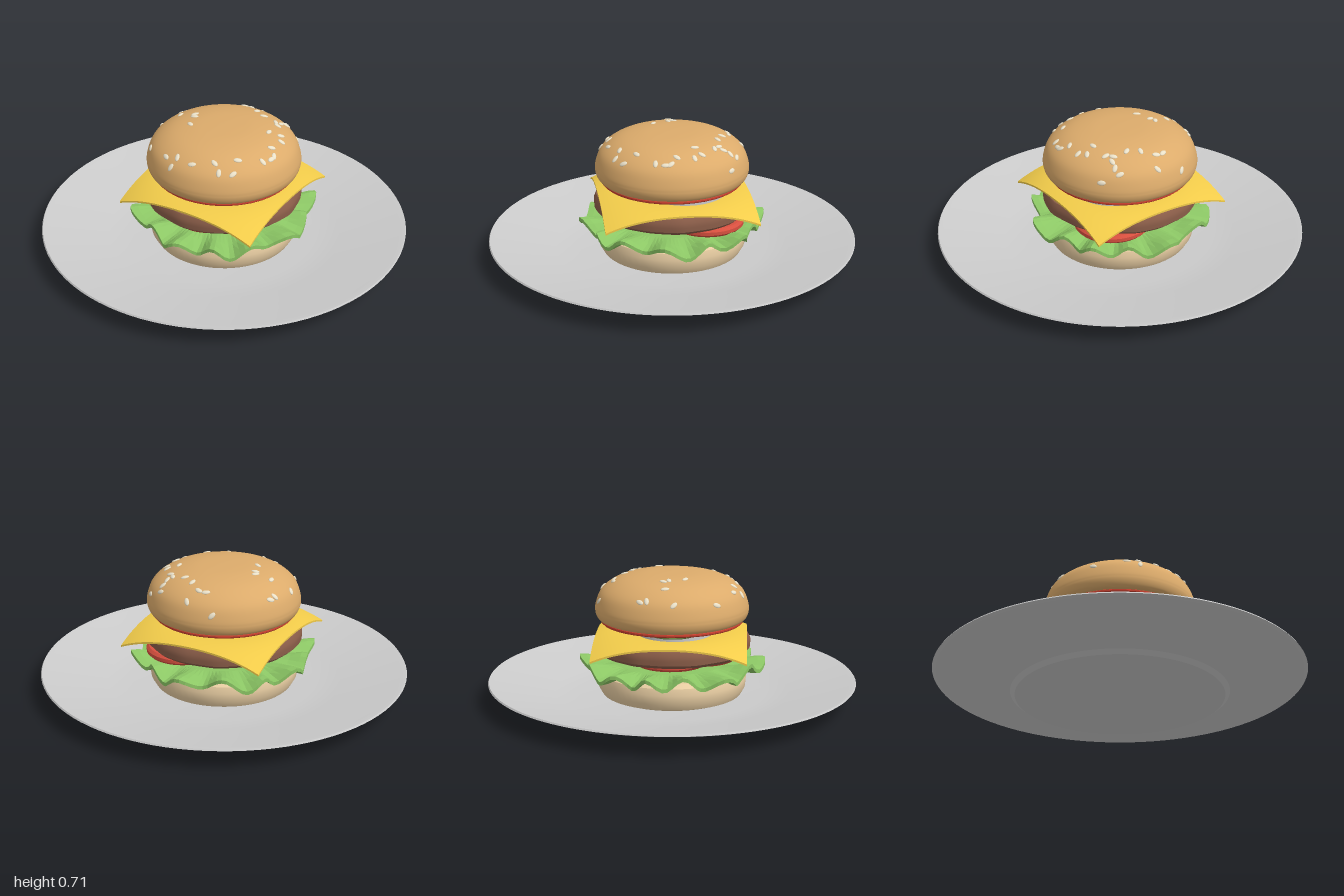
import * as THREE from 'three';
import { toCreasedNormals } from 'three/addons/utils/BufferGeometryUtils.js';

const material = (color, extra = {}) => new THREE.MeshStandardMaterial({ color, ...extra });
const points = (pairs) => pairs.map(([x, y]) => new THREE.Vector2(x, y));

function addMesh(parent, name, geometry, mat, x = 0, y = 0, z = 0) {
  const mesh = new THREE.Mesh(geometry, mat);
  mesh.name = name;
  mesh.position.set(x, y, z);
  parent.add(mesh);
  return mesh;
}

// Solid of revolution, keeping corners sharper than the crease angle
const turned = (profile, segments = 64, crease = 0.6) =>
  toCreasedNormals(new THREE.LatheGeometry(profile, segments), crease);

// Moves every vertex by rule(v)
function deform(geometry, rule) {
  const pos = geometry.attributes.position;
  const v = new THREE.Vector3();
  for (let i = 0; i < pos.count; i++) {
    rule(v.fromBufferAttribute(pos, i));
    pos.setXYZ(i, v.x, v.y, v.z);
  }
  geometry.computeVertexNormals();
  return geometry;
}

// Thin disc with a softened edge, standing on y = 0
const slice = (r, h) => turned(points([
  [0, 0], [r - h * 0.3, 0], [r, h * 0.3], [r, h * 0.7], [r - h * 0.3, h], [0, h],
]), 40);

export function createModel() {
  const burger = new THREE.Group();
  burger.name = 'burgerOnPlate';
  const red = material(0xd8503f);

  // Plate with a foot, sloping rim and shallow well
  addMesh(burger, 'plate', turned(points([
    [0, 0], [0.56, 0], [0.585, 0.02], [0.98, 0.108], [1, 0.116], [0.995, 0.124],
    [0.965, 0.12], [0.64, 0.045], [0.5, 0.03], [0, 0.03],
  ]), 96, 0.25), material(0xcccccc));

  // Bottom bun
  addMesh(burger, 'bottomBun', turned(points([
    [0, 0.03], [0.34, 0.03], [0.38, 0.045], [0.4, 0.08], [0.405, 0.13],
    [0.395, 0.165], [0.37, 0.185], [0, 0.185],
  ])), material(0xe8cda2));

  // Lettuce: thick disc whose rim is ruffled up, down, in and out
  const leaf = new THREE.LatheGeometry(points([
    [0, 0.185], [0.3, 0.185], [0.38, 0.187], [0.44, 0.188], [0.475, 0.19],
    [0.475, 0.21], [0.44, 0.213], [0.38, 0.213], [0.3, 0.215], [0, 0.215],
  ]), 112);
  deform(leaf, (v) => {
    const r = Math.hypot(v.x, v.z);
    const a = Math.atan2(v.z, v.x);
    const k = THREE.MathUtils.smoothstep(r, 0.28, 0.475);
    v.y += k * (0.03 * Math.sin(14 * a + 0.6 * Math.sin(3 * a)) + 0.01 * Math.sin(5 * a + 1));
    const s = 1 + k * (0.05 * Math.sin(8 * a + 0.8) + 0.03 * Math.sin(14 * a));
    v.x *= s;
    v.z *= s;
  });
  addMesh(burger, 'lettuce', leaf,
    material(0x8cc765, { flatShading: true, side: THREE.DoubleSide }));

  // Lower tomato slices
  [[0.23, 0], [-0.11, 0.11], [-0.08, -0.08]].forEach(([x, z], i) =>
    addMesh(burger, `tomatoSlice${i + 1}`, slice(0.2, 0.045), red, x, 0.228 + i * 0.001, z));

  // Patty with slightly uneven sides
  const patty = new THREE.LatheGeometry(points([
    [0, 0.27], [0.36, 0.27], [0.4, 0.277], [0.42, 0.295], [0.422, 0.32],
    [0.422, 0.345], [0.41, 0.368], [0.38, 0.378], [0, 0.378],
  ]), 72);
  deform(patty, (v) => {
    const a = Math.atan2(v.z, v.x);
    const s = 1 + 0.006 * Math.sin(9 * a) + 0.004 * Math.sin(16 * a + 1);
    v.x *= s;
    v.z *= s;
  });
  addMesh(burger, 'patty', toCreasedNormals(patty, 0.6), material(0x8d5f4a));

  // Cheese square turned by 45 degrees, corners drooping
  const cheese = new THREE.BoxGeometry(0.813, 0.01, 0.813, 28, 1, 28).rotateY(Math.PI / 4);
  deform(cheese, (v) => {
    v.y -= 1.12 * Math.max(0, Math.hypot(v.x, v.z) - 0.3) ** 2;
  });
  addMesh(burger, 'cheese', cheese, material(0xf2cc4a), 0, 0.388, 0);

  // Onion rings
  [[0.1, 0.02, 0.22], [-0.09, -0.06, 0.2], [-0.04, 0.1, 0.18]].forEach(([x, z, r], i) => {
    const h = 0.02;
    const ring = new THREE.LatheGeometry(points([
      [r - 0.03, 0], [r, 0], [r, h], [r - 0.03, h], [r - 0.03, 0],
    ]), 48);
    addMesh(burger, `onionRing${i + 1}`, toCreasedNormals(ring, 0.6),
      material(0xcccccc), x, 0.395 + i * 0.001, z);
  });

  // Pickle slices
  [[0.13, 0.12], [-0.15, 0.12], [0.12, -0.14], [-0.15, -0.13]].forEach(([x, z], i) =>
    addMesh(burger, `pickleSlice${i + 1}`, slice(0.14, 0.022), material(0x7f9a4a), x, 0.415, z));

  // Sauce layer under the top bun
  addMesh(burger, 'sauce', slice(0.385, 0.02), material(0xc9402f), 0, 0.436, 0);

  // Top bun: flat base and domed crown
  const crown = new THREE.SplineCurve(points([
    [0.37, 0.45], [0.4, 0.463], [0.415, 0.5], [0.41, 0.545], [0.385, 0.605],
    [0.335, 0.65], [0.265, 0.682], [0.17, 0.7], [0.08, 0.705], [0, 0.706],
  ])).getPoints(40);
  addMesh(burger, 'topBun', turned([new THREE.Vector2(0, 0.45), ...crown], 72),
    material(0xdcab6b));

  // Sesame seeds lying on the crown, given by x and z
  const seeds = new THREE.Group();
  seeds.name = 'sesameSeeds';
  burger.add(seeds);
  const seedGeometry = new THREE.SphereGeometry(1, 12, 8).scale(0.023, 0.007, 0.013);
  const seedMaterial = material(0xe9e0c8);
  const up = new THREE.Vector3(0, 1, 0);
  [
    [-0.14, -0.35], [-0.17, -0.33], [-0.29, -0.25], [-0.19, -0.22], [-0.12, -0.17], [-0.13, -0.14],
    [-0.17, -0.06], [-0.39, -0.04], [0.18, -0.36], [0.18, -0.26], [0.21, -0.23], [0.28, -0.25],
    [0.22, -0.15], [0.24, -0.08], [0.37, -0.07], [0.29, -0.02], [0.32, -0.02], [0.35, -0.04],
    [0.29, 0.02], [0.4, 0.02], [0.22, 0.1], [0.28, 0.12], [0.27, 0.17], [-0.34, 0.13],
    [-0.29, 0.18], [-0.33, 0.2], [-0.23, 0.26], [-0.12, 0.3], [-0.11, 0.35], [-0.04, 0.37],
    [0, 0.31], [0.13, 0.32], [0.2, 0.28], [0.18, 0.3], [0.2, 0.23],
  ].forEach(([x, z], i) => {
    const r = Math.hypot(x, z);
    // First crown point above the widest ring that lies inside this radius
    const j = crown.findIndex((p) => p.y > 0.51 && p.x <= r);
    const a = crown[j - 1], b = crown[j];
    const y = THREE.MathUtils.mapLinear(r, a.x, b.x, a.y, b.y);
    const slopeR = b.y - a.y, slopeY = a.x - b.x;
    const normal = new THREE.Vector3(slopeR * x / r, slopeY, slopeR * z / r).normalize();
    const seed = addMesh(seeds, `seed${i + 1}`, seedGeometry, seedMaterial, x, y, z);
    seed.quaternion.setFromUnitVectors(up, normal);
    seed.rotateY(i * 2.4);
  });

  return burger;
}
